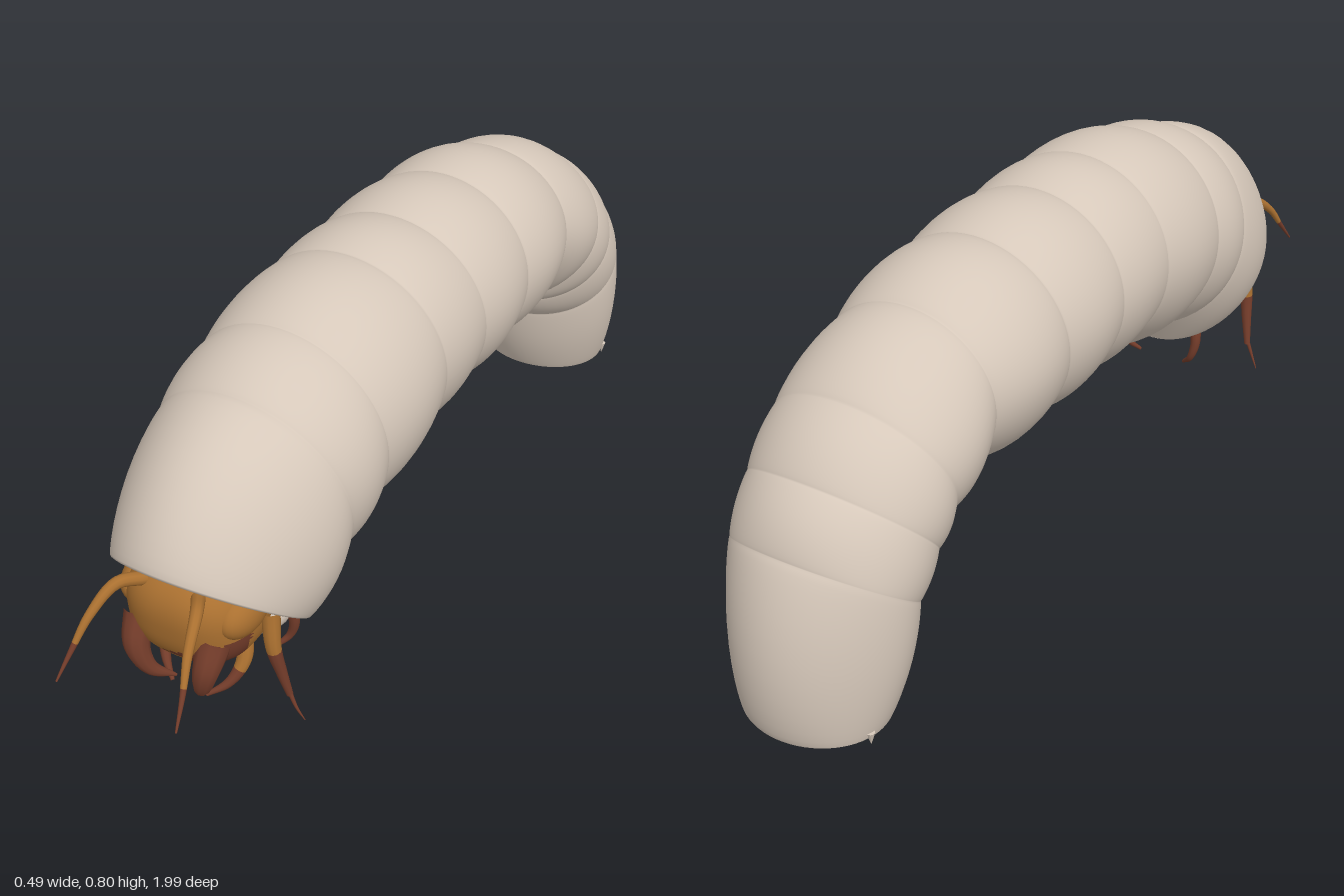
import * as THREE from 'three';

const shell = new THREE.MeshStandardMaterial({ color: 0xd6c8ba });
shell.name = 'cream skin';
const amber = new THREE.MeshStandardMaterial({ color: 0xaa7030 });
amber.name = 'amber';
const brown = new THREE.MeshStandardMaterial({ color: 0x733c2a });
brown.name = 'dark brown';

// Grooves between segments: back z, y; belly z, y; half width;
// then the bulge of the segment that follows at the back, belly and sides
const GROOVES = [
  [0.85, 0.46, 0.5, 0.165, 0.195, 0.05, 0.0, 0.018],
  [0.57, 0.695, 0.455, 0.25, 0.222, 0.015, 0.015, 0.014],
  [0.4, 0.75, 0.35, 0.3, 0.225, 0.024, 0.036, 0.018],
  [0.15, 0.785, 0.12, 0.35, 0.225, 0.018, 0.03, 0.01],
  [-0.04, 0.78, -0.06, 0.36, 0.22, 0.022, 0.03, 0.016],
  [-0.27, 0.77, -0.25, 0.36, 0.215, 0.028, 0.04, 0.024],
  [-0.51, 0.727, -0.49, 0.38, 0.195, 0.025, 0.03, 0.015],
  [-0.73, 0.63, -0.59, 0.32, 0.205, 0.015, 0.01, 0.008],
  [-0.85, 0.52, -0.62, 0.27, 0.203, 0.015, 0.01, 0.006],
  [-0.93, 0.4, -0.67, 0.2, 0.198, 0.04, 0.01, 0.014],
  [-0.98, 0.015, -0.72, 0.015, 0.155, 0, 0, 0],
];
const SIDES = 64, STEPS = 14;

// Ring of points across the body, k = [back z, y, belly z, y, half width]
function makeRing(k, bulge = [0, 0, 0], scale = 1, depth = 0) {
  const cz = (k[0] + k[2]) / 2 - 0.634 * depth, cy = (k[1] + k[3]) / 2 + 0.773 * depth;
  const hz = (k[0] - k[2]) / 2, hy = (k[1] - k[3]) / 2, h = Math.hypot(hz, hy);
  return Array.from({ length: SIDES }, (_, j) => {
    const a = (j / SIDES) * Math.PI * 2, s = Math.sin(a), c = Math.cos(a);
    const out = (s > 0 ? bulge[0] : bulge[1]) * Math.abs(s);
    return [c * (k[4] + bulge[2]) * scale,
      cy + s * (hy * scale + (hy / h) * out),
      cz + s * (hz * scale + (hz / h) * out)];
  });
}

function bodyGeometry() {
  const rings = [];
  // Hollow behind the front lip
  for (const [scale, depth] of [[0, 0.07], [0.5, 0.08], [0.8, 0.075], [0.9, 0.04], [0.95, 0.005]])
    rings.push(makeRing(GROOVES[0], undefined, scale, depth));
  for (let g = 0; g < GROOVES.length - 1; g++) {
    const A = GROOVES[g], B = GROOVES[g + 1];
    for (let i = 0; i < STEPS; i++) {
      const u = (1 - Math.cos((Math.PI * i) / STEPS)) / 2;
      const s = Math.pow(Math.sin(Math.PI * u), 0.75);
      rings.push(makeRing(A.slice(0, 5).map((v, n) => v + (B[n] - v) * u), A.slice(5).map(v => v * s)));
    }
  }
  // Flat tail end, with a doubled ring for a sharp edge
  const end = GROOVES.at(-1);
  for (const scale of [1, 1, 0]) rings.push(makeRing(end, undefined, scale));
  const index = [];
  for (let i = 0; i < rings.length - 1; i++)
    for (let j = 0; j < SIDES; j++) {
      const n = (j + 1) % SIDES, a = i * SIDES, b = a + SIDES;
      index.push(a + j, b + j, a + n, b + j, b + n, a + n);
    }
  const geo = new THREE.BufferGeometry();
  geo.setAttribute('position', new THREE.Float32BufferAttribute(rings.flat(2), 3));
  geo.setIndex(index);
  geo.computeVertexNormals();
  return geo;
}

// Rounded box-like head with a dark patch over the mouth
function headGeometry() {
  const geo = new THREE.SphereGeometry(1, 64, 48), p = geo.attributes.position;
  const soft = v => Math.sign(v) * Math.pow(Math.abs(v), 0.8);
  for (let i = 0; i < p.count; i++) {
    const y = soft(p.getY(i));
    p.setXYZ(i, soft(p.getX(i)) * 0.135, 0.315 + y * 0.115, 0.715 + soft(p.getZ(i)) * 0.12 + y * 0.01);
  }
  const idx = geo.index.array, light = [], dark = [];
  for (let i = 0; i < idx.length; i += 3) {
    const t = [idx[i], idx[i + 1], idx[i + 2]];
    const mean = get => (get(t[0]) + get(t[1]) + get(t[2])) / 3;
    const x = mean(n => p.getX(n)), y = mean(n => p.getY(n)), z = mean(n => p.getZ(n));
    const lip = x > -0.05 && x < 0.03 && y < 0.25;
    (z > 0.74 && y < 0.26 + 0.35 * x && !lip ? dark : light).push(...t);
  }
  geo.setIndex([...light, ...dark]);
  geo.addGroup(0, light.length, 0);
  geo.addGroup(light.length, dark.length, 1);
  geo.computeVertexNormals();
  return geo;
}

// Tapered curved limb, amber up to the fraction split and brown beyond it
function limb(name, points, r0, r1, split, side) {
  const curve = new THREE.CatmullRomCurve3(points.map(([x, y, z]) => new THREE.Vector3(x * side, y, z)));
  const N = 24, R = 10, geo = new THREE.TubeGeometry(curve, N, 1, R);
  const p = geo.attributes.position, v = new THREE.Vector3();
  for (let i = 0; i <= N; i++) {
    const c = curve.getPointAt(i / N), r = r0 + (r1 - r0) * Math.pow(i / N, 1.3);
    for (let j = 0; j <= R; j++) {
      const n = i * (R + 1) + j;
      v.fromBufferAttribute(p, n).sub(c).multiplyScalar(r).add(c);
      p.setXYZ(n, v.x, v.y, v.z);
    }
  }
  const cut = Math.round(N * split) * R * 6;
  geo.addGroup(0, cut, 0);
  geo.addGroup(cut, geo.index.count - cut, 1);
  const mesh = new THREE.Mesh(geo, [amber, brown]);
  mesh.name = name;
  return mesh;
}

function ellipsoid(name, material, [x, y, z], [rx, ry, rz]) {
  const mesh = new THREE.Mesh(new THREE.SphereGeometry(1, 28, 20), material);
  mesh.name = name;
  mesh.position.set(x, y, z);
  mesh.scale.set(rx, ry, rz);
  return mesh;
}

export function createModel() {
  const model = new THREE.Group();
  model.name = 'grub';

  const body = new THREE.Mesh(bodyGeometry(), shell);
  body.name = 'segmentedBody';
  model.add(body);
  model.add(ellipsoid('neckMembrane', shell, [0, 0.255, 0.62], [0.14, 0.07, 0.085]));

  const head = new THREE.Mesh(headGeometry(), [amber, brown]);
  head.name = 'head';
  model.add(head);

  for (const side of [1, -1]) {
    const s = side > 0 ? 'left' : 'right';
    model.add(ellipsoid(s + 'Cheek', amber, [0.11 * side, 0.34, 0.73], [0.04, 0.05, 0.07]));
    model.add(limb(s + 'Mandible',
      [[0.085, 0.3, 0.79], [0.08, 0.24, 0.82], [0.06, 0.18, 0.81], [0.03, 0.14, 0.77]], 0.034, 0.003, 0, side));
    model.add(limb(s + 'Antenna',
      [[0.06, 0.4, 0.8], [0.09, 0.41, 0.85], [0.11, 0.37, 0.91], [0.125, 0.31, 0.955], [0.135, 0.26, 0.995]],
      0.014, 0.002, 0.7, side));
    model.add(limb(s + 'OuterLeg',
      [[0.145, 0.32, 0.69], [0.155, 0.24, 0.7], [0.165, 0.17, 0.69], [0.175, 0.11, 0.68]], 0.019, 0.007, 0.4, side));
    model.add(limb(s + 'OuterClaw',
      [[0.174, 0.12, 0.681], [0.19, 0.08, 0.68], [0.205, 0.05, 0.675]], 0.005, 0.001, 0, side));
    model.add(limb(s + 'FrontLeg',
      [[0.08, 0.25, 0.69], [0.092, 0.19, 0.71], [0.075, 0.145, 0.74], [0.04, 0.12, 0.77]], 0.02, 0.004, 0.5, side));
    model.add(limb(s + 'RearLeg',
      [[0.09, 0.22, 0.55], [0.1, 0.16, 0.54], [0.088, 0.115, 0.54], [0.06, 0.085, 0.56]], 0.015, 0.004, 0.12, side));

    // Tiny spur at the corner of the tail end
    const spur = new THREE.Mesh(new THREE.ConeGeometry(0.009, 0.03, 10), shell);
    spur.name = s + 'TailSpur';
    spur.position.set(0.152 * side, 0.015, -0.885);
    spur.rotation.x = Math.PI;
    model.add(spur);
  }
  return model;
}
